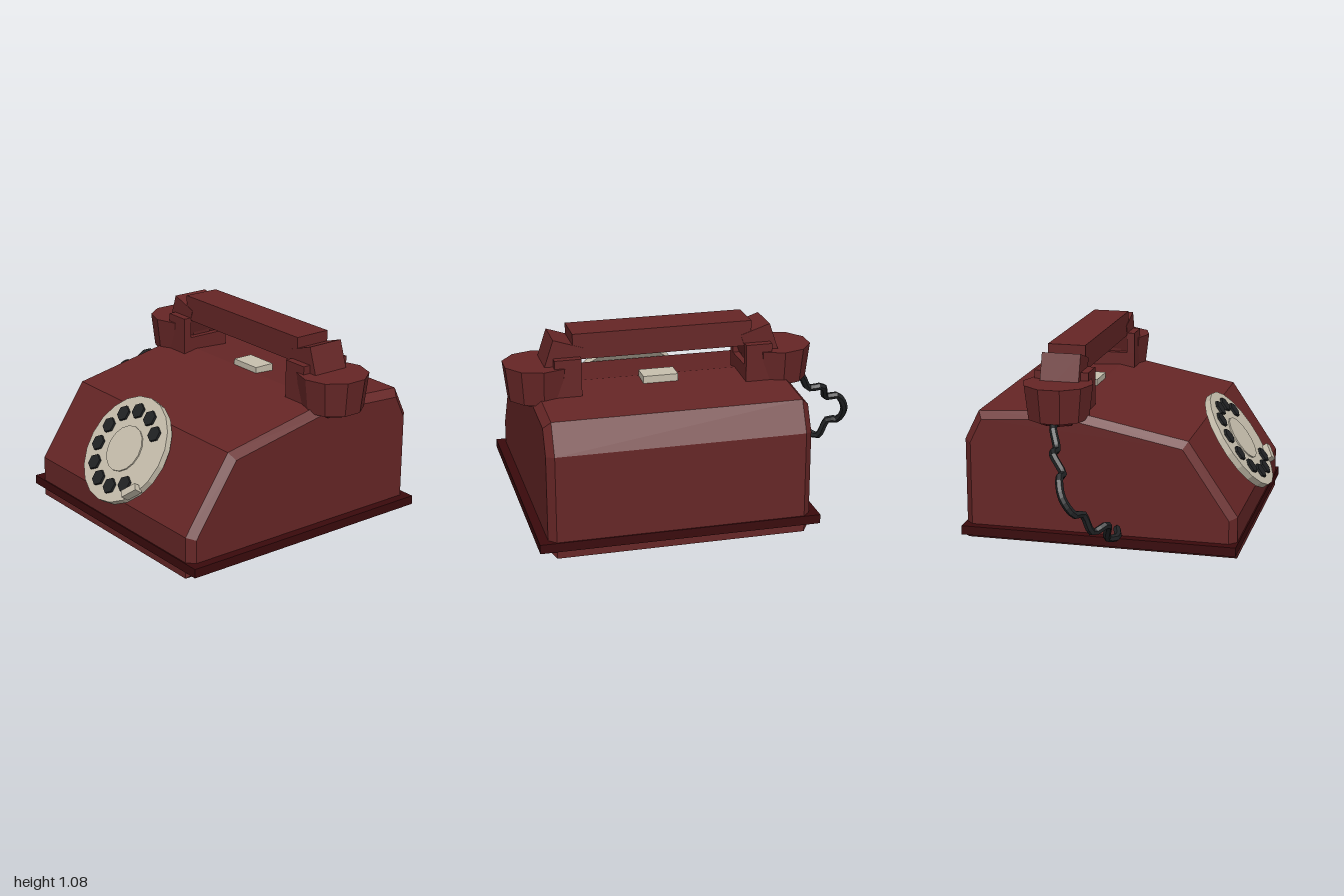
import * as THREE from 'three';

const CX = 0.163; // mid-plane of the housing
const mat = (name, color) => {
  const m = new THREE.MeshStandardMaterial({ color });
  m.name = name;
  return m;
};

export function createModel() {
  const red = mat('red shell', 0x662626);
  const dark = mat('dark red trim', 0x3a0a0c);
  const cream = mat('cream', 0xc8c0ae);
  const black = mat('black', 0x202224);
  for (const m of [red, dark, cream, black]) m.flatShading = true;

  const model = new THREE.Group();
  const add = (name, geo, material, x, y, z, parent = model) => {
    const mesh = new THREE.Mesh(geo, material);
    mesh.name = name;
    mesh.position.set(x, y, z);
    parent.add(mesh);
    return mesh;
  };
  const box = (w, h, d) => new THREE.BoxGeometry(w, h, d);

  // Housing: side profile given as (z, y), extruded across x with bevelled sides
  const profile = [[0.72, 0], [0.72, 0.23], [0.45, 0.63], [-0.2, 0.757],
    [-0.71, 0.727], [-0.79, 0.565], [-0.79, 0]];
  const shape = new THREE.Shape(profile.map(([z, y]) => new THREE.Vector2(-z, y)));
  const depth = 1.345;
  const housing = new THREE.ExtrudeGeometry(shape, {
    depth, bevelEnabled: true, bevelThickness: 0.04, bevelSize: 0.04,
    bevelOffset: -0.04, bevelSegments: 1,
  });
  housing.translate(0, 0, -depth / 2).rotateY(Math.PI / 2);
  add('housing', housing, red, CX, 0, 0);
  add('baseBand', box(1.525, 0.05, 1.524), dark, CX, 0.065, -0.035);
  add('topButton', box(0.193, 0.05, 0.12), cream, CX, 0.765, -0.26);

  // Rotary dial: local y is the face normal, local z runs down the slope
  const dial = new THREE.Group();
  dial.name = 'dial';
  dial.position.set(CX, 0.466, 0.607);
  dial.rotation.x = Math.atan2(0.81, 0.58);
  model.add(dial);
  add('dialPlate', new THREE.CylinderGeometry(0.305, 0.305, 0.037, 20), cream, 0, 0, 0, dial);
  add('dialCentre', new THREE.CylinderGeometry(0.131, 0.131, 0.02, 16), cream, 0, 0.016, 0, dial);
  for (let i = 0; i < 10; i++) {
    const a = THREE.MathUtils.degToRad(40 + i * 30);
    add('fingerHole', new THREE.CylinderGeometry(0.044, 0.044, 0.02, 6), black,
      0.217 * Math.cos(a), 0.022, -0.217 * Math.sin(a), dial);
  }
  const stop = add('fingerStop', box(0.1, 0.05, 0.04), cream, 0.22, 0.027, 0.185, dial);
  stop.rotation.y = Math.PI / 4;

  // Handset: grip, then mirrored arm, cup and cradle at each end
  const handset = new THREE.Group();
  handset.name = 'handset';
  handset.position.set(CX, 0, -0.265);
  model.add(handset);
  add('grip', box(0.978, 0.14, 0.21), red, 0, 1.005, 0, handset);
  for (const s of [-1, 1]) {
    const arm = add('arm', box(0.17, 0.26, 0.215), red, s * 0.553, 0.9, 0, handset);
    arm.rotation.z = s * 0.321;
    add('cup', new THREE.CylinderGeometry(0.193, 0.17, 0.19, 10), red, s * 0.658, 0.81, 0, handset);
    add('cupCap', new THREE.CylinderGeometry(0.112, 0.112, 0.04, 10), dark, s * 0.658, 0.71, 0, handset);
    add('cradleBase', box(0.145, 0.12, 0.3), red, s * 0.523, 0.77, 0, handset);
    for (const t of [-1, 1]) {
      add('cradleProng', box(0.145, 0.15, 0.045), red, s * 0.523, 0.875, t * 0.1275, handset);
    }
  }

  // Kinked cord from the right cup to the side of the base
  const path = [[-0.55, 0.7, -0.25], [-0.65, 0.7, -0.25], [-0.72, 0.6, -0.21],
    [-0.8, 0.6, -0.21], [-0.85, 0.51, -0.14], [-0.92, 0.51, -0.14],
    [-0.975, 0.42, -0.11], [-0.96, 0.33, -0.05], [-0.91, 0.32, -0.02],
    [-0.865, 0.21, 0.02], [-0.79, 0.23, 0.08], [-0.71, 0.13, 0.06],
    [-0.66, 0.12, 0.1], [-0.585, 0.14, 0.08]].map((p) => new THREE.Vector3(...p));
  add('cord', new THREE.TubeGeometry(new THREE.CatmullRomCurve3(path), 44, 0.021, 6), black, 0, 0, 0);
  // Cord end plugs
  for (const p of [path[0], path[path.length - 1]]) {
    add('cordEnd', new THREE.IcosahedronGeometry(0.021, 0), black, p.x, p.y, p.z);
  }
  return model;
}
